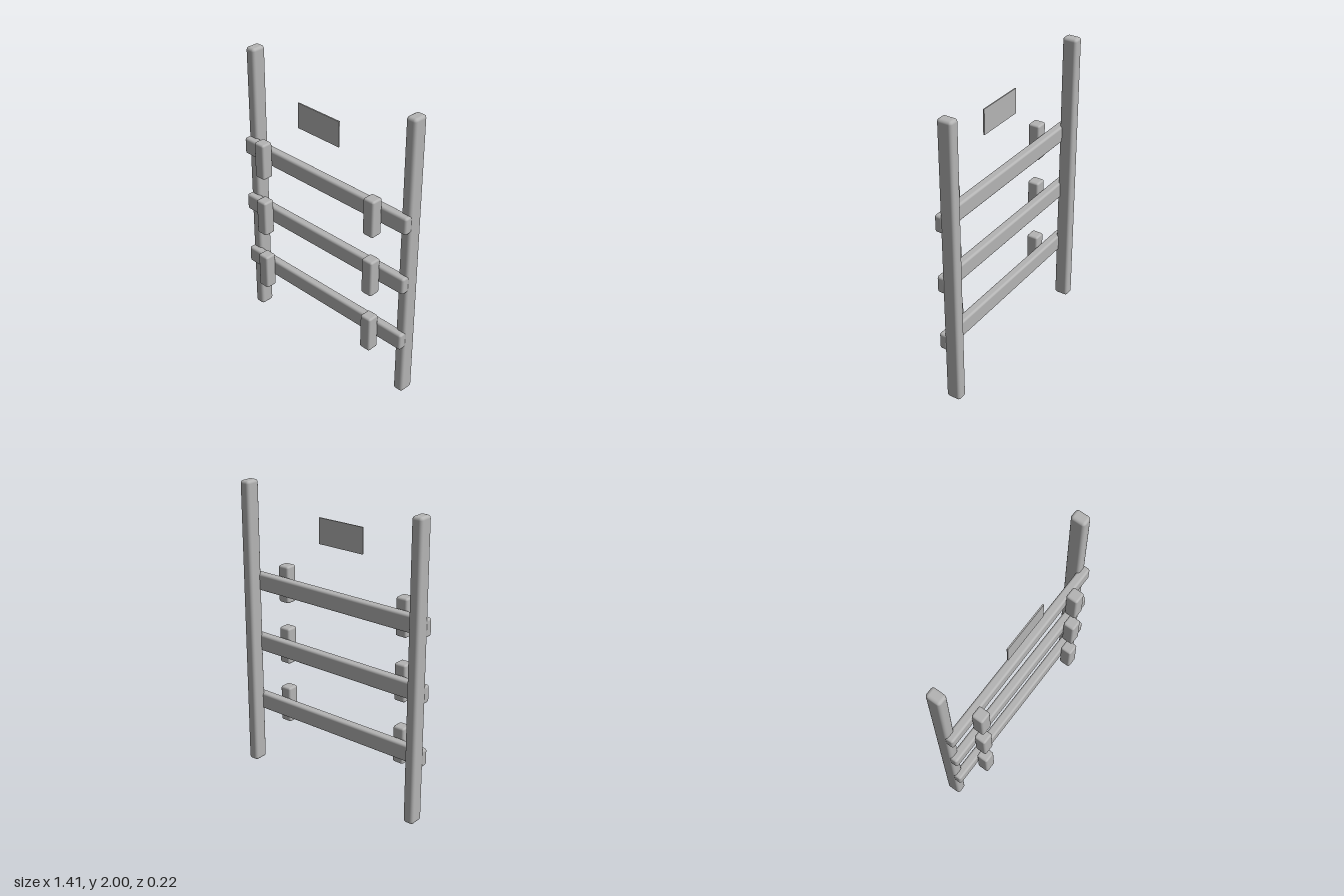
import * as THREE from 'three';
import { RoundedBoxGeometry } from 'three/addons/geometries/RoundedBoxGeometry.js';

export function createModel() {
  const model = new THREE.Group();
  model.name = 'rack';

  const grey = new THREE.MeshStandardMaterial({ color: 0xb4b4b4 });
  grey.name = 'grey';

  // Adds a box with softened edges, centred on (x, y, z)
  function bar(name, w, h, d, radius, x, y, z) {
    const mesh = new THREE.Mesh(new RoundedBoxGeometry(w, h, d, 2, radius), grey);
    mesh.name = name;
    mesh.position.set(x, y, z);
    model.add(mesh);
  }

  const sides = [['left', 1], ['right', -1]];

  // Upright posts
  for (const [side, s] of sides) {
    bar(side + 'Post', 0.074, 2, 0.102, 0.02, s * 0.669, 1, -0.061);
  }

  // Cross rails, each with two upright pegs on its front
  [0.437, 0.873, 1.308].forEach((y, i) => {
    const n = i + 1;
    bar('rail' + n, 1.412, 0.118, 0.06, 0.016, 0, y, 0);
    for (const [side, s] of sides) {
      bar(side + 'Peg' + n, 0.083, 0.255, 0.082, 0.014, s * 0.478, y, 0.071);
    }
  });

  // Thin sign plate between the post tops
  const plate = new THREE.Mesh(new THREE.BoxGeometry(0.345, 0.172, 0.009), grey);
  plate.name = 'signPlate';
  plate.position.set(0, 1.73, 0.043);
  model.add(plate);

  return model;
}
